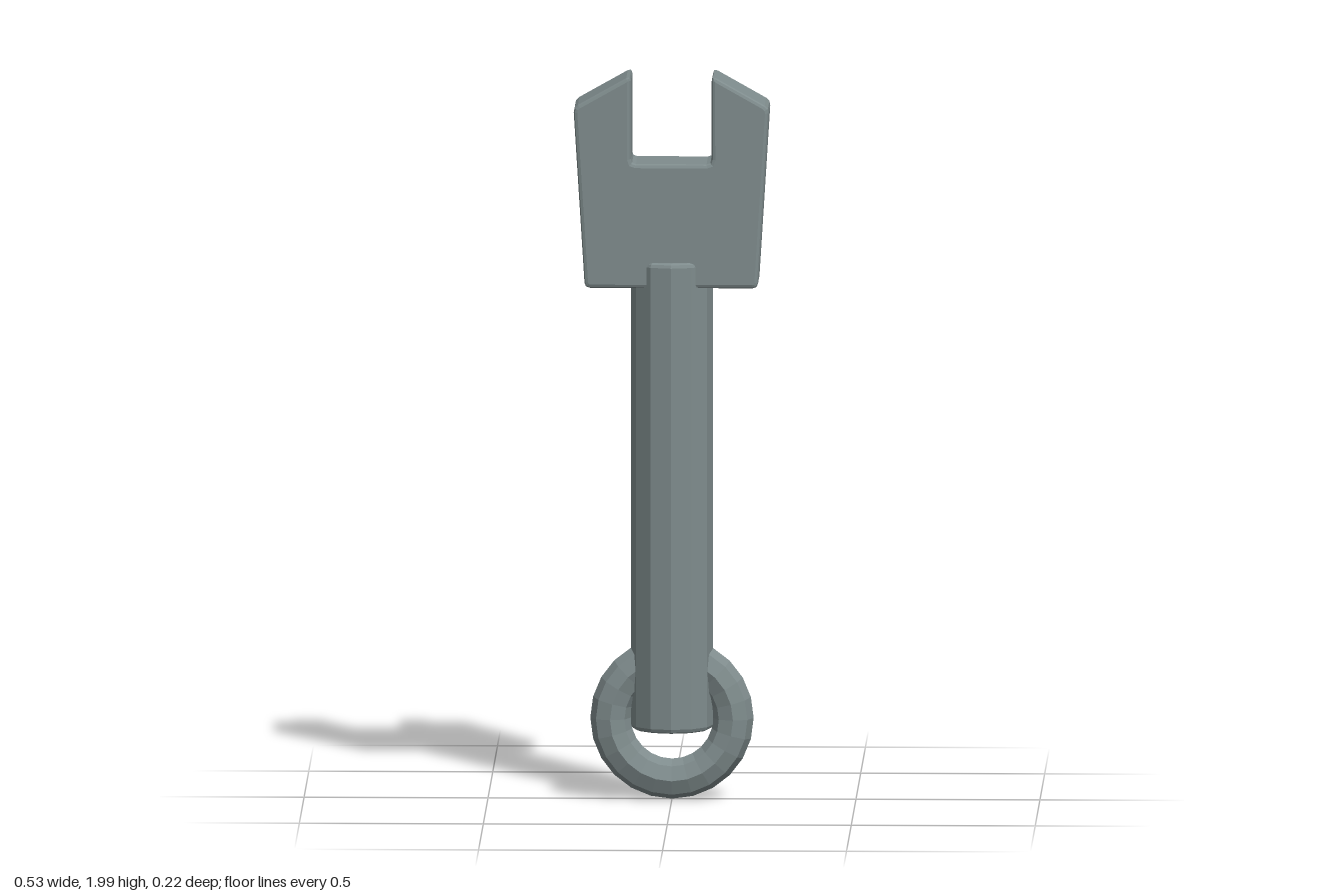
import * as THREE from 'three';

// Closed outline whose corners are softened by a small radius
function softOutline(points, r) {
  const shape = new THREE.Shape();
  const pts = points.map(([x, y]) => new THREE.Vector2(x, y));
  pts.forEach((p, i) => {
    const prev = pts[(i + pts.length - 1) % pts.length];
    const next = pts[(i + 1) % pts.length];
    const a = p.clone().add(prev.clone().sub(p).setLength(r));
    const b = p.clone().add(next.clone().sub(p).setLength(r));
    if (i === 0) shape.moveTo(a.x, a.y);
    else shape.lineTo(a.x, a.y);
    shape.quadraticCurveTo(p.x, p.y, b.x, b.y);
  });
  shape.closePath();
  return shape;
}

export function createModel() {
  const group = new THREE.Group();
  const metal = new THREE.MeshStandardMaterial({ color: 0x7f8c8d, flatShading: true });

  const add = (name, geometry) => {
    const mesh = new THREE.Mesh(geometry, metal);
    mesh.name = name;
    group.add(mesh);
    return mesh;
  };

  // Open jaw: tapered block with a square notch and sloped tips
  const half = [[0.235, 1.42], [0.266, 1.915], [0.11, 2.003], [0.11, 1.76]];
  const mirrored = half.map(([x, y]) => [-x, y]).reverse();
  const bevel = 0.01, depth = 0.173;
  const jaw = new THREE.ExtrudeGeometry(softOutline([...half, ...mirrored], 0.014), {
    depth: depth - 2 * bevel,
    bevelThickness: bevel,
    bevelSize: bevel,
    bevelOffset: -bevel,
    bevelSegments: 2,
    curveSegments: 2,
  });
  jaw.translate(0, 0, -depth / 2 + bevel);
  add('jaw', jaw);

  // Twelve-sided handle with softened ends
  const r = 0.112, y0 = 0.2, y1 = 1.49, c = 0.012;
  const profile = [
    [0, y0], [r - c, y0], [r - c * 0.3, y0 + c * 0.3], [r, y0 + c],
    [r, y1 - c], [r - c * 0.3, y1 - c * 0.3], [r - c, y1], [0, y1],
  ].map(([x, y]) => new THREE.Vector2(x, y));
  add('handle', new THREE.LatheGeometry(profile, 12));

  // Hanging ring through the end of the handle
  add('hangingRing', new THREE.TorusGeometry(0.167, 0.055, 8, 24)).position.y = 0.23;

  return group;
}
